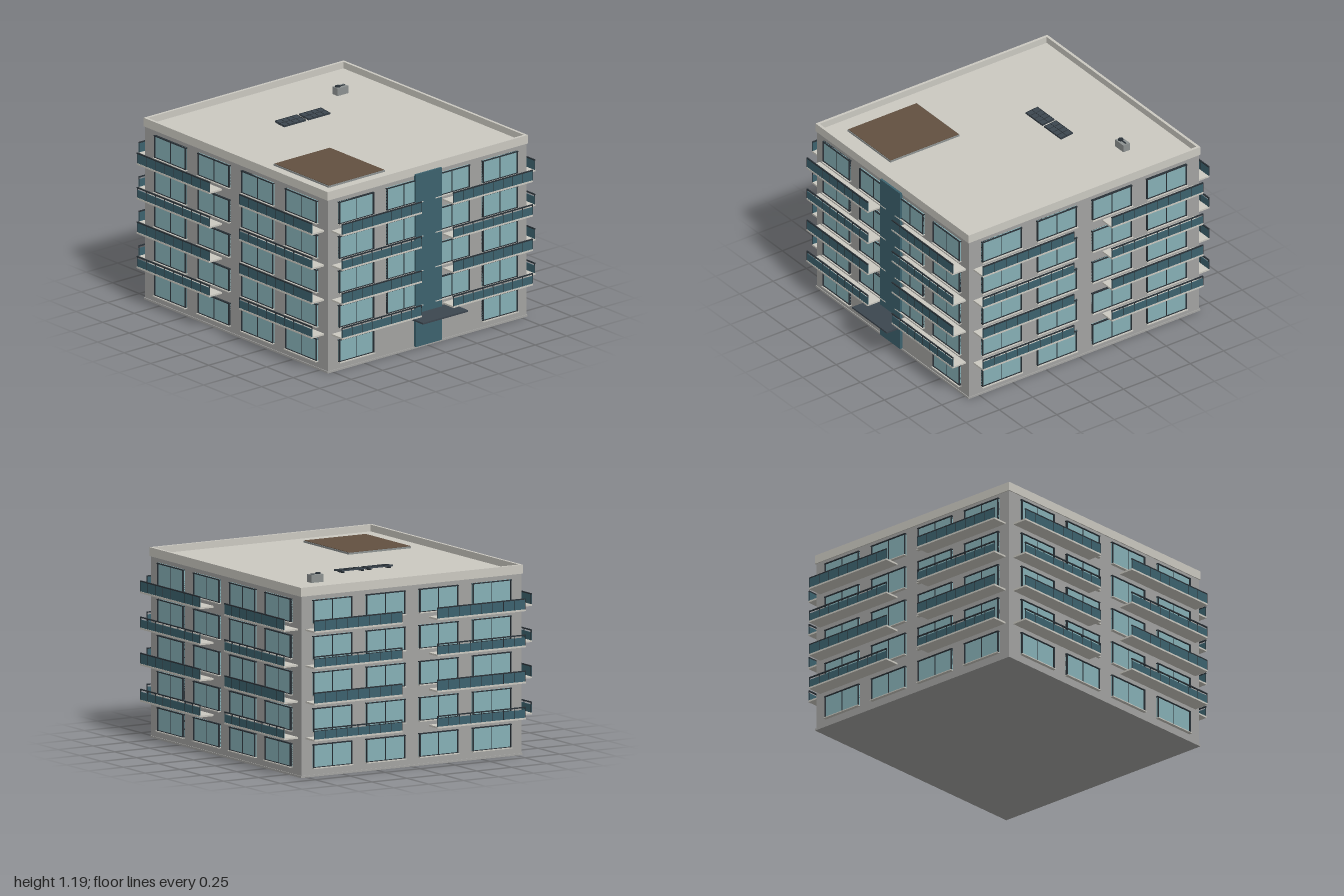
import * as THREE from 'three';

const mat = (name, color) => {
  const m = new THREE.MeshStandardMaterial({ color });
  m.name = name;
  return m;
};

export function createModel() {
  const wall = mat('grey wall', 0xa3a3a1);
  const pale = mat('pale concrete', 0xcbc9c1);
  const glass = mat('window glass', 0x86b0b6);
  const teal = mat('teal glazing', 0x3c626e);
  const frame = mat('dark frame', 0x2a3238);
  const slate = mat('slate canopy', 0x3c464f);
  const wood = mat('brown decking', 0x625040);
  const metal = mat('grey metal', 0x8d9291);

  const building = new THREE.Group();
  building.name = 'apartmentBuilding';

  // Box given by its minimum and maximum corners
  const box = (parent, name, m, x0, x1, y0, y1, z0, z1) => {
    const mesh = new THREE.Mesh(new THREE.BoxGeometry(x1 - x0, y1 - y0, z1 - z0), m);
    mesh.position.set((x0 + x1) / 2, (y0 + y1) / 2, (z0 + z1) / 2);
    mesh.name = name;
    parent.add(mesh);
    return mesh;
  };
  const group = (parent, name) => {
    const g = new THREE.Group();
    g.name = name;
    parent.add(g);
    return g;
  };

  const W = 0.788, ZF = 0.825, ZB = -0.9, STOREY = 0.2225;

  // Main block, plinth and roof deck
  box(building, 'walls', wall, -W, W, 0.012, 1.117, ZB, ZF);
  box(building, 'plinth', wall, -W - 0.005, W + 0.005, 0, 0.012, ZB - 0.005, ZF + 0.005);
  box(building, 'roofDeck', pale, -W, W, 1.117, 1.13, ZB, ZF);

  // Parapet ring
  const ring = new THREE.Shape();
  const rect = (p, x, z0, z1) => p.moveTo(-x, -z1).lineTo(x, -z1).lineTo(x, -z0).lineTo(-x, -z0).closePath();
  rect(ring, W + 0.006, ZB - 0.006, ZF + 0.006);
  const hole = new THREE.Path();
  rect(hole, W - 0.012, ZB + 0.012, ZF - 0.012);
  ring.holes.push(hole);
  const ringGeo = new THREE.ExtrudeGeometry(ring, { depth: 0.055, bevelEnabled: false });
  ringGeo.rotateX(-Math.PI / 2);
  const parapet = new THREE.Mesh(ringGeo, pale);
  parapet.position.y = 1.117;
  parapet.name = 'parapet';
  building.add(parapet);

  // Two-pane window with frame and sill; local z points out of the wall
  const addWindow = (parent, x, y, w, h) => {
    const g = group(parent, 'window');
    g.position.set(x, y, 0);
    const a = w / 2, t = 0.006;
    box(g, 'windowGlass', glass, -a, a, 0, h, 0, 0.007);
    for (const cx of [-a + t / 2, a - t / 2]) {
      box(g, 'frameSide', frame, cx - t / 2, cx + t / 2, 0, h, 0, 0.015);
    }
    box(g, 'mullion', frame, -0.002, 0.002, 0, h, 0, 0.01);
    box(g, 'frameTop', frame, -a - 0.003, a + 0.003, h - t, h, 0, 0.015);
    box(g, 'frameBottom', frame, -a, a, 0, 0.004, 0, 0.013);
    box(g, 'sill', pale, -a - 0.003, a + 0.003, -0.006, 0, 0, 0.022);
  };

  // Balcony slab with a glazed front railing
  const addBalcony = (parent, x0, x1, y, floor) => {
    const g = group(parent, 'balcony');
    g.position.y = y;
    const D = 0.1, odd = floor % 2 === 1;
    box(g, 'slab', pale, x0, x1, -0.005, 0.006, 0, D);
    box(g, 'railingGlass', teal, x0, x1, 0.006, odd ? 0.055 : 0.066, D - 0.006, D - 0.002);
    box(g, 'handrail', frame, x0, x1, 0.066, 0.073, D - 0.008, D);
    const panels = 8;
    for (let i = 0; i <= panels; i++) {
      const px = x0 + 0.002 + (x1 - x0 - 0.004) * i / panels;
      box(g, 'railingPost', frame, px - 0.0015, px + 0.0015, 0.006, 0.068, D - 0.007, D - 0.001);
    }
    // Small cooling unit on alternate floors
    if (odd) {
      const c = x0 + 0.12;
      box(g, 'coolingUnit', metal, c - 0.03, c + 0.03, 0.006, 0.03, 0.048, 0.08);
    }
  };

  // Facades: position, turn, window width, window centres, balcony spans
  const ends = [-0.57, -0.19, 0.19, 0.57];
  const ends4 = [-0.585, -0.172, 0.24, 0.65];
  const short = [[-0.757, -0.125], [0.125, 0.757]];
  const long = [[-0.79, -0.105], [0.175, 0.86]];
  const flip = (a) => a.map((v) => Array.isArray(v) ? [-v[1], -v[0]] : -v);
  const facades = [
    ['frontFacade', 0, ZF, 0, 0.276, ends, short],
    ['backFacade', 0, ZB, Math.PI, 0.276, ends, short],
    ['leftFacade', W, 0, Math.PI / 2, 0.296, ends4, long],
    ['rightFacade', -W, 0, -Math.PI / 2, 0.296, flip(ends4), flip(long)],
  ];
  for (const [name, x, z, turn, w, centres, spans] of facades) {
    const f = group(building, name);
    f.position.set(x, 0, z);
    f.rotation.y = turn;
    for (let floor = 0; floor < 5; floor++) {
      const y = floor * STOREY;
      for (const c of centres) {
        if (name === 'frontFacade' && floor === 0 && Math.abs(c) < 0.3) continue;
        addWindow(f, c, y + 0.056, w, 0.144);
      }
      if (floor > 0) for (const [a, b] of spans) addBalcony(f, a, b, y + 0.018, floor);
    }
  }

  // Glazed stair tower and entrance canopy
  box(building, 'stairTower', teal, -0.105, 0.102, 0.015, 1.127, ZF - 0.005, 0.845);
  box(building, 'entranceCanopy', slate, -0.18, 0.178, 0.22, 0.231, ZF, 1.0);

  // Roof terrace
  box(building, 'terraceBase', metal, -0.664, -0.218, 1.13, 1.141, 0.167, 0.686);
  box(building, 'terraceDecking', wood, -0.66, -0.222, 1.141, 1.144, 0.171, 0.682);

  // Solar panels
  for (const cx of [-0.098, 0.094]) {
    const g = group(building, 'solarPanel');
    g.position.set(cx, 1.143, -0.348);
    g.rotation.x = 0.1;
    box(g, 'panel', slate, -0.087, 0.087, -0.004, 0.004, -0.045, 0.045);
    for (let i = 0; i <= 4; i++) {
      const x = -0.085 + 0.0425 * i;
      box(g, 'panelRib', frame, x - 0.0015, x + 0.0015, 0.004, 0.006, -0.045, 0.045);
    }
    for (const z of [-0.0435, 0, 0.0435]) {
      box(g, 'panelRail', frame, -0.087, 0.087, 0.004, 0.006, z - 0.0015, z + 0.0015);
    }
    for (const x of [-0.07, 0.07]) {
      box(g, 'panelFoot', frame, x - 0.004, x + 0.004, -0.014, -0.004, -0.04, 0.03);
    }
  }

  // Rooftop ventilation unit
  box(building, 'ventUnit', metal, 0.43, 0.515, 1.13, 1.178, -0.58, -0.53);
  const fan = new THREE.Mesh(new THREE.CylinderGeometry(0.016, 0.016, 0.008, 16), frame);
  fan.position.set(0.452, 1.182, -0.555);
  fan.name = 'ventFan';
  building.add(fan);
  box(building, 'ventPipe', frame, 0.465, 0.505, 1.178, 1.182, -0.559, -0.551);

  return building;
}
